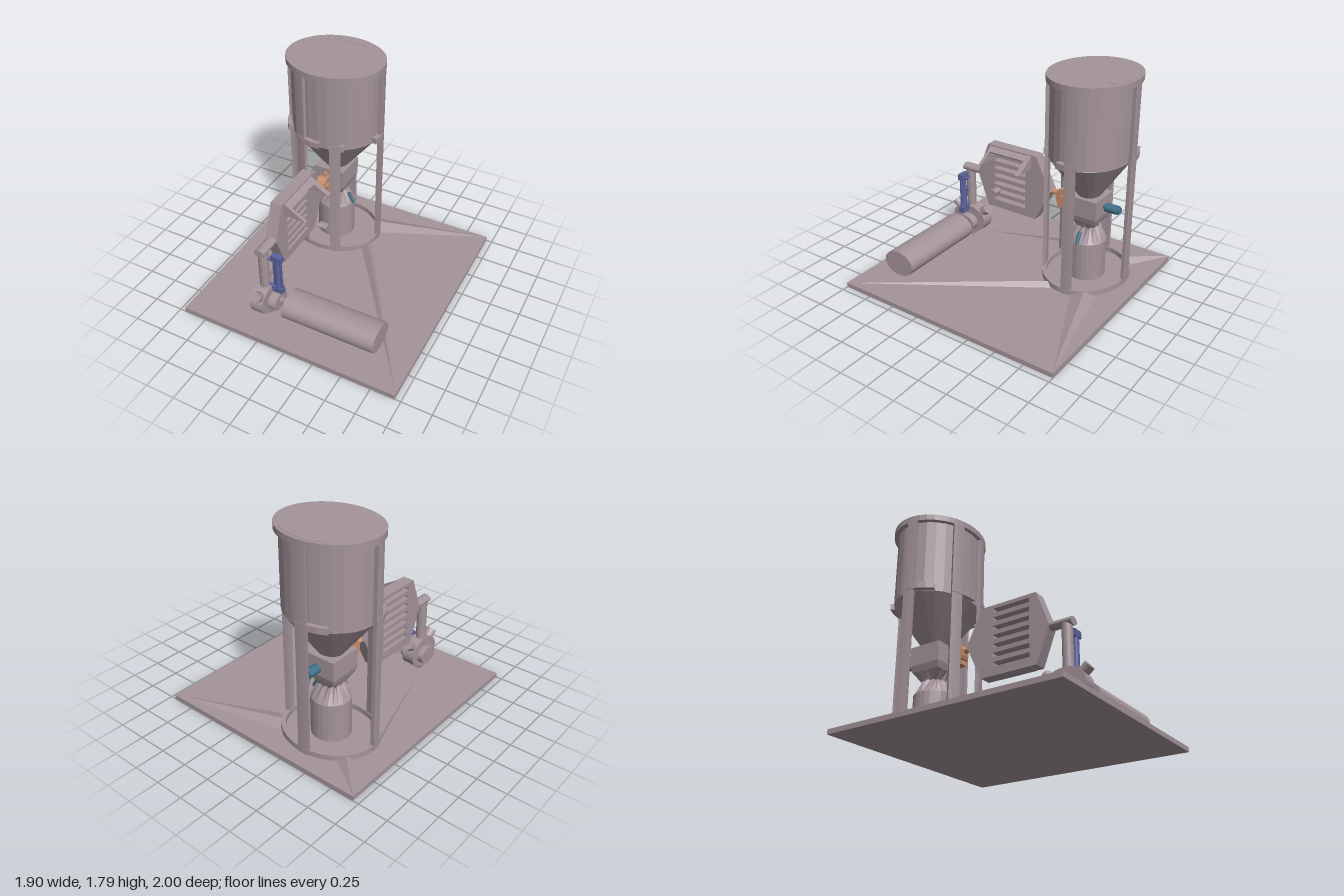
import * as THREE from 'three';

const mat = (color) => new THREE.MeshStandardMaterial({ color, flatShading: true, side: THREE.DoubleSide });
const steel = mat(0xa4949a), blue = mat(0x5c639c), teal = mat(0x3f7088), orange = mat(0xc98f6c);
const rad = THREE.MathUtils.degToRad;

function add(parent, name, geometry, material = steel, x = 0, y = 0, z = 0) {
  const mesh = new THREE.Mesh(geometry, material);
  mesh.name = name;
  mesh.position.set(x, y, z);
  parent.add(mesh);
  return mesh;
}

// Box given by its limits
function box(parent, name, x0, x1, y0, y1, z0, z1, material) {
  return add(parent, name, new THREE.BoxGeometry(x1 - x0, y1 - y0, z1 - z0), material,
    (x0 + x1) / 2, (y0 + y1) / 2, (z0 + z1) / 2);
}

// Elliptical tube along one axis; a and b are the two cross radii
function rod(parent, name, axis, from, to, c1, c2, a, b, material, sides = 24) {
  const g = new THREE.CylinderGeometry(1, 1, to - from, sides);
  const mid = (from + to) / 2;
  if (axis === 'x') { // c1 = y, c2 = z
    g.rotateZ(Math.PI / 2).scale(1, a, b);
    return add(parent, name, g, material, mid, c1, c2);
  }
  if (axis === 'y') { // c1 = x, c2 = z
    g.scale(a, 1, b);
    return add(parent, name, g, material, c1, mid, c2);
  }
  g.rotateX(Math.PI / 2).scale(a, b, 1); // c1 = x, c2 = y
  return add(parent, name, g, material, c1, c2, mid);
}

// Upright piece of a ring; angles in degrees from the front towards +x
function sector(parent, name, r0, r1, a0, a1, y0, y1) {
  const n = Math.max(3, Math.ceil((a1 - a0) / 12)), pts = [];
  for (let i = 0; i <= 2 * n + 1; i++) {
    const outer = i <= n, t = outer ? i / n : (2 * n + 1 - i) / n;
    const a = rad(a0 + (a1 - a0) * t), r = outer ? r1 : r0;
    pts.push(new THREE.Vector2(r * Math.sin(a), -r * Math.cos(a)));
  }
  const g = new THREE.ExtrudeGeometry(new THREE.Shape(pts), { depth: y1 - y0, bevelEnabled: false });
  return add(parent, name, g.rotateX(-Math.PI / 2), steel, 0, y0, 0);
}

// Long low ramp from a point on the slab to the silo foot
function ramp(parent, tip, p, ridge, q) {
  const y = 0.042, T = [tip[0], y, tip[1]], P = [p[0], y, p[1]], Q = [q[0], y, q[1]], R = [ridge[0], 0.085, ridge[1]];
  const g = new THREE.BufferGeometry();
  g.setAttribute('position', new THREE.Float32BufferAttribute([T, P, R, T, R, Q, P, Q, R].flat(), 3));
  g.computeVertexNormals();
  add(parent, 'ramp', g);
}

// Folded neck: square ring, narrow waist, round ring
function neckGeometry() {
  const n = 24, pos = [], index = [];
  const rows = [[0.61, 0.14, true], [0.56, 0.125, true], [0.49, 0.085, false], [0.37, 0.16, false]];
  rows.forEach(([y, r, square], k) => {
    for (let i = 0; i < n; i++) {
      const a = (i / n) * Math.PI * 2, s = Math.sin(a), c = Math.cos(a);
      let f = square ? r / Math.max(Math.abs(s), Math.abs(c)) : r;
      if (k === 2) f *= i % 2 ? 0.85 : 1.15; // pleats
      pos.push(f * s, y, f * c);
      if (k < 3) {
        const j = (i + 1) % n, A = k * n + i, B = k * n + j;
        index.push(A, A + n, B, B, A + n, B + n);
      }
    }
  });
  const g = new THREE.BufferGeometry();
  g.setAttribute('position', new THREE.Float32BufferAttribute(pos, 3));
  g.setIndex(index);
  g.computeVertexNormals();
  return g;
}

function buildSilo(model) {
  // Oval silo on legs, drawn at unit radius and scaled
  const silo = new THREE.Group();
  silo.name = 'silo';
  silo.position.set(-0.345, 0, -0.52);
  silo.scale.set(0.418, 1, 0.357);
  model.add(silo);
  add(silo, 'lid', new THREE.CylinderGeometry(1, 1, 0.05, 40), steel, 0, 1.765, 0);
  add(silo, 'tank', new THREE.CylinderGeometry(0.91, 0.91, 0.625, 28), steel, 0, 1.43, 0);
  add(silo, 'hopperCone', new THREE.CylinderGeometry(0.91, 0.24, 0.355, 28, 1, true), steel, 0, 0.9375, 0);
  sector(silo, 'lidHatch', 0.76, 0.93, 146, 214, 1.785, 1.793);
  for (const a of [22.6, 96.5, 184, 277, 337.4]) sector(silo, 'leg', 0.92, 1, a - 6.7, a + 6.7, 0.04, 1.77);
  for (const [a0, a1] of [[-29, 3.5], [-90, -50], [77, 97], [178, 214], [16, 34]])
    sector(silo, 'legBracket', 0.9, 1.015, a0, a1, 1.12, 1.17);
  for (const a of [0, 180]) sector(silo, 'footRing', 0.9, 0.99, a, a + 180, 0.04, 0.085);

  // Mixer under the hopper
  const mixer = new THREE.Group();
  mixer.name = 'mixer';
  mixer.position.set(-0.345, 0, -0.515);
  model.add(mixer);
  box(mixer, 'feedBox', -0.14, 0.14, 0.61, 0.77, -0.14, 0.14);
  add(mixer, 'foldedNeck', neckGeometry());
  rod(mixer, 'mixerDrum', 'y', 0.04, 0.37, 0, 0, 0.165, 0.157);
  const spout = add(mixer, 'sampleSpout', new THREE.CylinderGeometry(0.015, 0.015, 0.1, 10), teal, 0.15, 0.42, 0);
  spout.rotation.z = 0.5;

  // Feed motor behind, valve in front
  rod(mixer, 'feedMotor', 'z', -0.27, -0.16, 0, 0.687, 0.042, 0.036, teal, 12);
  rod(mixer, 'feedMotorCap', 'z', -0.285, -0.27, 0, 0.687, 0.03, 0.026, teal, 12);
  rod(mixer, 'feedMotorShaft', 'z', -0.17, -0.13, 0, 0.687, 0.02, 0.018, teal, 12);
  rod(mixer, 'valveBody', 'x', -0.04, 0.04, 0.67, 0.235, 0.08, 0.062, orange, 20);
  rod(mixer, 'valveHub', 'x', -0.055, 0.055, 0.67, 0.235, 0.03, 0.025, orange, 12);
  rod(mixer, 'valvePipe', 'z', 0.13, 0.35, 0, 0.69, 0.025, 0.022, orange, 12);
  box(mixer, 'valveFoot', -0.03, 0.03, 0.575, 0.61, 0.175, 0.285, orange);
  box(mixer, 'valveLever', -0.01, 0.01, 0.735, 0.765, 0.17, 0.21, orange);
}

function buildFilterPanel(model) {
  // Six-sided slotted panel
  const outline = [[0.57, 0.69], [0.46, 0.98], [-0.03, 0.98], [-0.17, 0.69], [-0.03, 0.4], [0.46, 0.4]];
  const shape = new THREE.Shape(outline.map(([z, y]) => new THREE.Vector2(-z, y)));
  for (let i = 0; i < 8; i++) {
    const y = 0.913 - 0.0735 * i;
    shape.holes.push(new THREE.Path([[-0.4, y], [-0.075, y], [-0.075, y + 0.037], [-0.4, y + 0.037]]
      .map(([u, v]) => new THREE.Vector2(u, v))));
  }
  const g = new THREE.ExtrudeGeometry(shape, { depth: 0.1, bevelEnabled: false }).rotateY(Math.PI / 2);
  add(model, 'slottedPanel', g, steel, -0.395, 0, 0);

  // Hood arms beside the panel
  const arm = new THREE.Shape([[-0.3, 0.975], [-0.11, 0.86], [-0.3, 0.86]].map(([x, y]) => new THREE.Vector2(x, y)));
  for (const [z, d] of [[0.015, 0.045], [0.405, 0.025]])
    add(model, 'hoodArm', new THREE.ExtrudeGeometry(arm, { depth: d, bevelEnabled: false }), steel, 0, 0, z);
  const strip = add(model, 'hoodStrip', new THREE.BoxGeometry(0.06, 0.012, 0.41), steel, -0.268, 0.95, 0.22);
  strip.rotation.z = -0.54;
  rod(model, 'knob', 'x', -0.1, -0.025, 0.69, 0.22, 0.025, 0.034, steel, 16);
}

function buildBlower(model) {
  // Blower housing with its two slanted ports
  const y = 0.2, z = 0.68;
  rod(model, 'blowerHousing', 'x', -0.395, -0.285, y, z, 0.128, 0.172, steel, 32);
  rod(model, 'blowerSideCover', 'x', -0.445, -0.215, y - 0.02, z - 0.005, 0.075, 0.095);
  box(model, 'blowerFoot', -0.395, -0.285, 0.035, 0.1, 0.635, 0.715);
  for (const s of [-1, 1]) {
    const port = add(model, 'blowerPort', new THREE.CylinderGeometry(0.05, 0.05, 0.11, 16), steel,
      -0.34, 0.288, z + s * 0.132);
    port.scale.set(1, 1, 0.8);
    port.rotation.x = s * 0.9;
  }

  // Air pipe up to the panel
  rod(model, 'airPipe', 'y', 0.28, 0.68, -0.345, 0.69, 0.042, 0.042, steel, 18);
  rod(model, 'airPipeElbow', 'z', 0.55, 0.745, -0.345, 0.687, 0.045, 0.032, steel, 18);

  // Drive motor
  rod(model, 'driveShaft', 'x', -0.22, -0.12, y - 0.003, 0.672, 0.014, 0.018, steel, 12);
  rod(model, 'shaftCollar', 'x', -0.215, -0.185, y - 0.003, 0.672, 0.022, 0.03, steel, 12);
  rod(model, 'driveMotor', 'x', -0.13, 0.67, y - 0.003, 0.672, 0.108, 0.143, steel, 36);

  // Actuator standing beside the pipe
  box(model, 'actuatorRail', -0.262, -0.182, 0.31, 0.66, 0.68, 0.692, blue);
  rod(model, 'actuatorTube', 'y', 0.32, 0.65, -0.222, 0.683, 0.024, 0.024, blue, 14);
  for (const ay of [0.315, 0.635]) box(model, 'actuatorCap', -0.27, -0.177, ay - 0.02, ay + 0.035, 0.662, 0.708, blue);
  for (const ay of [0.345, 0.615]) rod(model, 'actuatorMount', 'x', -0.3, -0.24, ay, 0.685, 0.012, 0.015, blue, 10);
  for (const ay of [0.525, 0.63]) rod(model, 'actuatorFitting', 'z', 0.635, 0.68, -0.222, ay, 0.014, 0.014, blue, 10);
}

export function createModel() {
  const model = new THREE.Group();
  model.name = 'siloPlant';
  box(model, 'baseSlab', -0.95, 0.95, 0, 0.04, -1, 1);

  // Ramps spreading over the slab
  ramp(model, [0.945, -0.995], [-0.05, -0.78], [0.01, -0.7], [0.05, -0.6]);
  ramp(model, [-0.945, -0.995], [-0.63, -0.78], [-0.68, -0.74], [-0.72, -0.69]);
  ramp(model, [0.945, 0.98], [0.06, -0.42], [0.04, -0.38], [0.01, -0.33]);
  ramp(model, [-0.42, 0.58], [-0.77, -0.5], [-0.75, -0.46], [-0.73, -0.4]);

  buildSilo(model);
  buildFilterPanel(model);
  buildBlower(model);
  return model;
}
